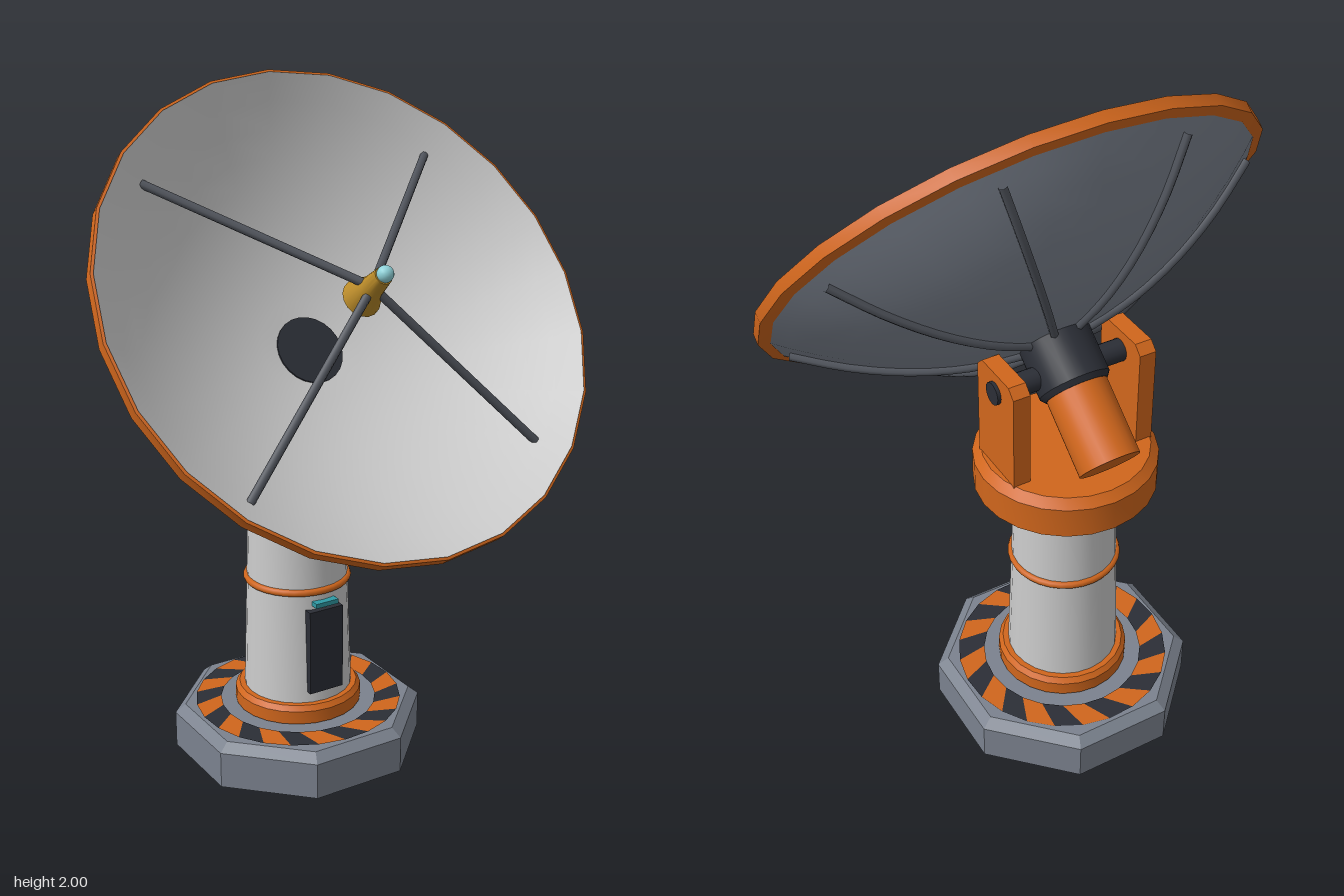
import * as THREE from 'three';
import { toCreasedNormals } from 'three/addons/utils/BufferGeometryUtils.js';

const AXIS_Z = -0.205; // z of the mast
const PIVOT_Y = 1.19; // height of the tilt axle
const TILT = 0.662; // elevation of the dish axis

const mat = (color, extra = {}) => new THREE.MeshStandardMaterial({ color, ...extra });
const grey = mat(0xcccccc);
const dishGrey = mat(0xcccccc, { side: THREE.DoubleSide });
const slate = mat(0x7b828e);
const orange = mat(0xd0661c);
const dark = mat(0x2b2e36);
const steel = mat(0x50545c);
const gold = mat(0xb98a28);
const teal = mat(0x8fd3da);
const cyan = mat(0x2f9aa5);

function add(parent, name, geometry, material, x = 0, y = 0, z = 0) {
  const mesh = new THREE.Mesh(geometry, material);
  mesh.name = name;
  mesh.position.set(x, y, z);
  parent.add(mesh);
  return mesh;
}

// Turned solid from [radius, height] pairs listed bottom to top
function turned(profile, sides = 24, crease = 0.5) {
  const points = profile.map(([r, h]) => new THREE.Vector2(r, h));
  return toCreasedNormals(new THREE.LatheGeometry(points, sides), crease);
}

// Round bar between two points
function bar(a, b, radius, sides = 8) {
  return new THREE.TubeGeometry(new THREE.LineCurve3(a, b), 1, radius, sides);
}

// Slanted flat segments of one colour around a ring
function stripeRing(inner, outer, count, offset) {
  const pos = [];
  const step = Math.PI / count;
  const at = (r, a) => [r * Math.sin(a), 0, r * Math.cos(a)];
  for (let i = 0; i < count; i++) {
    const a = (2 * i + offset) * step;
    const b = a + step;
    const skew = step * 0.7;
    const p = at(inner, a), q = at(outer, a + skew), r = at(outer, b + skew), s = at(inner, b);
    pos.push(...p, ...q, ...r, ...p, ...r, ...s);
  }
  const g = new THREE.BufferGeometry();
  g.setAttribute('position', new THREE.Float32BufferAttribute(pos, 3));
  g.computeVertexNormals();
  return g;
}

// Depth of the reflector along its axis at a given radius
const dishDepth = (r) => 0.095 + 0.3 * (r / 0.72) ** 2;

function buildMast(parent) {
  const mast = new THREE.Group();
  mast.name = 'mast';
  mast.position.z = AXIS_Z;
  parent.add(mast);

  // Octagonal foundation with a bevelled top
  const foundation = turned([[0, 0], [0.376, 0], [0.376, 0.11], [0.345, 0.135], [0, 0.135]], 8, 0.1);
  foundation.rotateY(Math.PI / 8);
  add(mast, 'foundation', foundation, slate);
  add(mast, 'warningStripesOrange', stripeRing(0.235, 0.312, 12, 0), orange, 0, 0.139, 0);
  add(mast, 'warningStripesDark', stripeRing(0.235, 0.312, 12, 1), dark, 0, 0.139, 0);

  // Column and its collars
  add(mast, 'footCollar', turned([[0.175, 0.135], [0.19, 0.14], [0.19, 0.18], [0.178, 0.195], [0.15, 0.195]]), orange);
  add(mast, 'column', turned([[0.162, 0.18], [0.143, 0.78]]), grey);
  const band = new THREE.TorusGeometry(0.15, 0.011, 8, 32).rotateX(Math.PI / 2);
  add(mast, 'columnBand', band, orange, 0, 0.545, 0);
  add(mast, 'topCollar', turned([[0.14, 0.76], [0.155, 0.76], [0.17, 0.79], [0.17, 0.83], [0, 0.83]]), grey);

  // Service door with a lamp above
  add(mast, 'door', new THREE.BoxGeometry(0.112, 0.262, 0.05), dark, 0, 0.36, 0.142);
  add(mast, 'doorLamp', new THREE.BoxGeometry(0.075, 0.014, 0.04), cyan, 0, 0.51, 0.152);

  // Turntable
  add(mast, 'turntable',
    turned([[0, 0.825], [0.255, 0.825], [0.255, 0.915], [0.232, 0.94], [0, 0.94]]), orange);

  // Yoke plates with chamfered tops
  const plate = new THREE.Shape();
  [[-0.095, 0.93], [0.095, 0.93], [0.095, 1.225], [0.07, 1.25], [-0.07, 1.25], [-0.095, 1.225]]
    .forEach(([z, y], i) => (i ? plate.lineTo(z, y) : plate.moveTo(z, y)));
  const plateGeometry = new THREE.ExtrudeGeometry(plate, { depth: 0.05, bevelEnabled: false });
  plateGeometry.translate(0, 0, -0.025).rotateY(Math.PI / 2);
  for (const side of [1, -1]) {
    add(mast, side > 0 ? 'leftYokePlate' : 'rightYokePlate', plateGeometry, orange, side * 0.19, 0, 0);
  }
  const axle = new THREE.CylinderGeometry(0.032, 0.032, 0.45, 16).rotateZ(Math.PI / 2);
  add(mast, 'tiltAxle', axle, dark, 0, PIVOT_Y, 0);
}

function buildDish(parent) {
  // Local +z is the dish axis, with the tilt axle at the origin
  const dish = new THREE.Group();
  dish.name = 'dishAssembly';
  dish.position.set(0, PIVOT_Y, AXIS_Z);
  dish.rotation.x = -TILT;
  parent.add(dish);
  const alongAxis = (g) => g.rotateX(Math.PI / 2);

  // Reflector, back shell and rim
  const radii = Array.from({ length: 11 }, (_, i) => 0.085 + 0.0632 * i);
  const front = radii.map((r) => new THREE.Vector2(r, dishDepth(r))).reverse();
  const back = radii.map((r) => new THREE.Vector2(r, dishDepth(r) - 0.018));
  add(dish, 'reflector', alongAxis(new THREE.LatheGeometry(front, 24)), dishGrey);
  add(dish, 'backShell', alongAxis(new THREE.LatheGeometry(back, 24)), slate);
  add(dish, 'rim', alongAxis(turned([[0.69, 0.352], [0.722, 0.36], [0.722, 0.393], [0.714, 0.395]])), orange);

  // Hub and drive housing behind
  add(dish, 'hub', alongAxis(turned([[0, -0.065], [0.088, -0.065], [0.1, -0.05], [0.1, 0.106], [0, 0.106]])), dark);
  add(dish, 'driveHousing', alongAxis(turned([[0, -0.28], [0.086, -0.28], [0.086, -0.05], [0, -0.05]])), orange);

  // Curved ribs along the back shell
  for (let i = 0; i < 8; i++) {
    const a = ((i + 0.5) * Math.PI) / 4;
    const path = [0.08, 0.22, 0.37, 0.52, 0.66].map((r) =>
      new THREE.Vector3(r * Math.cos(a), r * Math.sin(a), dishDepth(r) - 0.024));
    add(dish, 'backRib', new THREE.TubeGeometry(new THREE.CatmullRomCurve3(path), 12, 0.012, 6), steel);
  }

  // Four struts carrying the feed horn
  for (const sx of [1, -1]) {
    for (const sy of [1, -1]) {
      const foot = new THREE.Vector3(sx * 0.45, sy * 0.45, 0.325);
      const tip = new THREE.Vector3(sx * 0.02, sy * 0.02, 0.492);
      add(dish, 'feedStrut', bar(foot, tip, 0.012), steel);
    }
  }
  add(dish, 'feedHorn', alongAxis(turned(
    [[0, 0.434], [0.055, 0.434], [0.052, 0.445], [0.032, 0.5], [0.025, 0.565], [0, 0.565]], 16)), gold);
  add(dish, 'feedTip', new THREE.SphereGeometry(0.023, 16, 12), teal, 0, 0, 0.574);
}

export function createModel() {
  const model = new THREE.Group();
  model.name = 'dishAntenna';
  buildMast(model);
  buildDish(model);
  return model;
}
